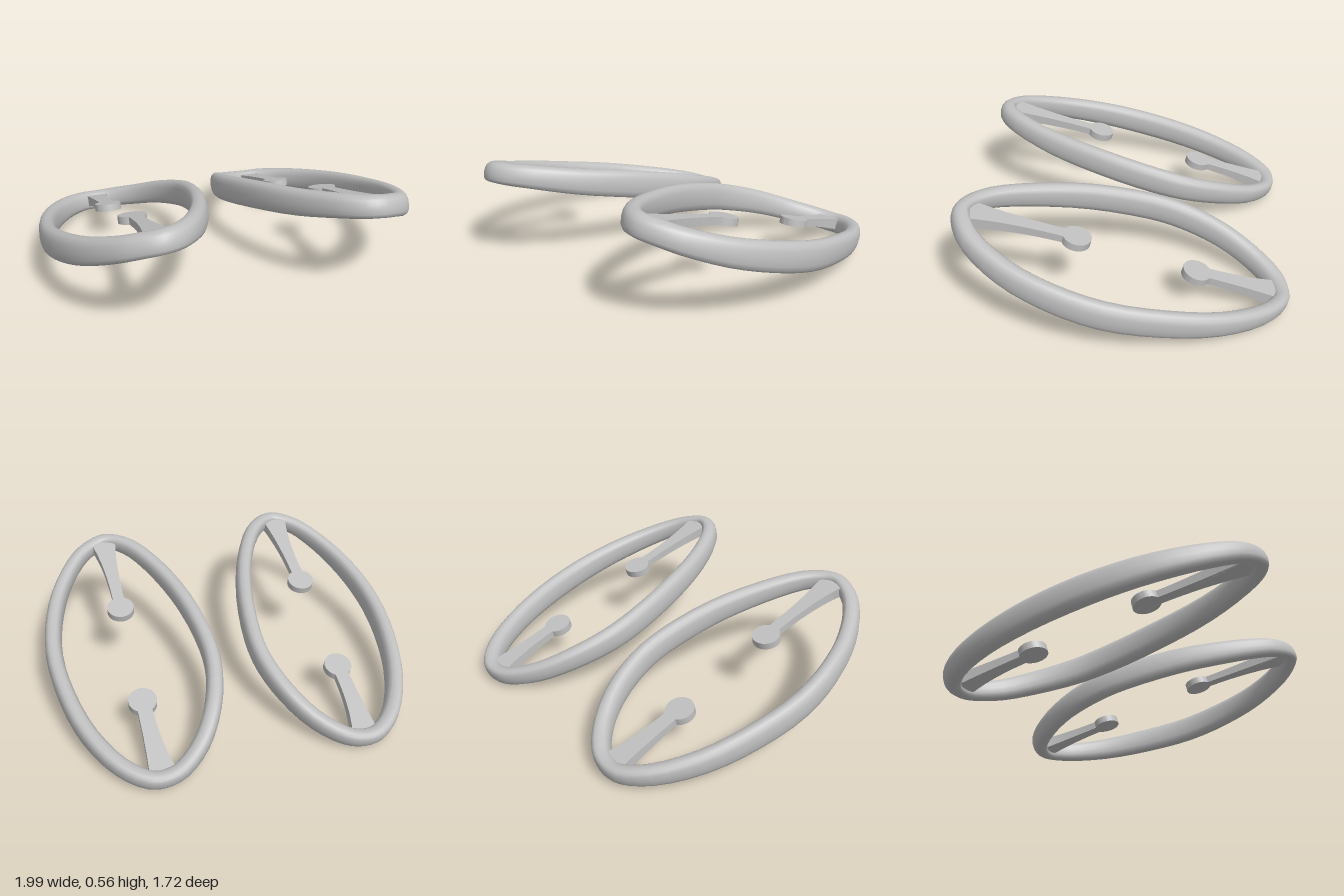
import * as THREE from 'three';
import { toCreasedNormals } from 'three/addons/utils/BufferGeometryUtils.js';

// Outer outline of one frame: [x, top height, z], clockwise seen from above
const OUTLINE = [
  [0.52, 0.11, -0.86], [0.62, 0.115, -0.845], [0.75, 0.14, -0.74], [0.88, 0.19, -0.52],
  [0.963, 0.255, -0.24], [0.995, 0.32, 0.06], [0.963, 0.385, 0.32], [0.88, 0.45, 0.56],
  [0.75, 0.515, 0.75], [0.64, 0.547, 0.825], [0.55, 0.56, 0.85], [0.455, 0.56, 0.82],
  [0.35, 0.55, 0.72], [0.23, 0.51, 0.5], [0.134, 0.455, 0.2], [0.086, 0.375, -0.13],
  [0.096, 0.32, -0.32], [0.16, 0.25, -0.53], [0.27, 0.175, -0.71], [0.41, 0.125, -0.83],
];

// Closed band with a rounded upright section, swept round the outline
function frameGeometry(side) {
  const pts = OUTLINE.map(([x, y, z]) => new THREE.Vector3(x * side, y, z));
  if (side < 0) pts.reverse();
  const curve = new THREE.CatmullRomCurve3(pts, true);
  const N = 60, M = 16, half = 0.046;
  const up = new THREE.Vector3(0, 0.97, -0.25);
  const round = (v) => Math.sign(v) * Math.pow(Math.abs(v), 0.8);
  const pos = [], idx = [];
  for (let i = 0; i < N; i++) {
    const p = curve.getPoint(i / N), t = curve.getTangent(i / N);
    const out = new THREE.Vector3(t.z, 0, -t.x).normalize();
    const h = 0.107 + 0.05 * (1 - (p.z / 0.86) ** 2);
    const centre = p.clone().addScaledVector(out, -half);
    centre.y -= h / 2;
    for (let j = 0; j < M; j++) {
      const a = (j / M) * Math.PI * 2;
      const v = centre.clone()
        .addScaledVector(out, half * round(Math.cos(a)))
        .addScaledVector(up, (h / 2) * round(Math.sin(a)));
      pos.push(v.x, v.y, v.z);
      const i2 = (i + 1) % N, j2 = (j + 1) % M;
      const A = i * M + j, B = i2 * M + j, C = i * M + j2, D = i2 * M + j2;
      idx.push(A, C, B, B, C, D);
    }
  }
  const g = new THREE.BufferGeometry();
  g.setAttribute('position', new THREE.Float32BufferAttribute(pos, 3));
  g.setIndex(idx);
  g.computeVertexNormals();
  return g;
}

// Round pad on a flared stem; local y runs from the pad to the frame
function armGeometry({ neck, root, shift, length, dir }, side) {
  const r = 0.075, a = Math.acos(neck / r), y0 = r * Math.sin(a), dx = shift * side;
  const s = new THREE.Shape();
  s.moveTo(dx - root, length);
  s.quadraticCurveTo(-neck, length * 0.65, -neck, y0);
  s.absarc(0, 0, r, Math.PI - a, Math.PI * 2 + a, false);
  s.quadraticCurveTo(neck, length * 0.65, dx + root, length);
  const depth = 0.04;
  const g = new THREE.ExtrudeGeometry(s, { depth, bevelEnabled: false, curveSegments: 20 });
  g.translate(0, 0, -depth / 2);
  // thicken the underside towards the frame
  const p = g.attributes.position;
  for (let i = 0; i < p.count; i++) {
    const k = Math.max(0, p.getY(i) / length);
    if (p.getZ(i) * dir > 0) p.setZ(i, p.getZ(i) + dir * 0.025 * k * k);
  }
  return toCreasedNormals(g, 0.6);
}

const ARMS = [
  { name: 'frontArm', dir: 1, y: 0.372, z: 0.23, slope: 0.26, neck: 0.032, root: 0.08, shift: 0.01, length: 0.575 },
  { name: 'backArm', dir: -1, y: 0.187, z: -0.38, slope: -0.27, neck: 0.038, root: 0.067, shift: -0.015, length: 0.425 },
];

export function createModel() {
  const model = new THREE.Group();
  model.name = 'pairedFrames';
  const grey = new THREE.MeshStandardMaterial({ color: 0xc0c0c0 });
  grey.name = 'light grey';

  for (const side of [1, -1]) {
    const half = new THREE.Group();
    half.name = side > 0 ? 'leftFrame' : 'rightFrame';
    const ring = new THREE.Mesh(frameGeometry(side), grey);
    ring.name = 'ovalRing';
    half.add(ring);
    for (const arm of ARMS) {
      const mesh = new THREE.Mesh(armGeometry(arm, side), grey);
      mesh.name = arm.name;
      mesh.position.set(0.545 * side, arm.y, arm.z);
      mesh.rotation.x = Math.atan2(arm.dir, arm.slope);
      half.add(mesh);
    }
    model.add(half);
  }
  return model;
}
